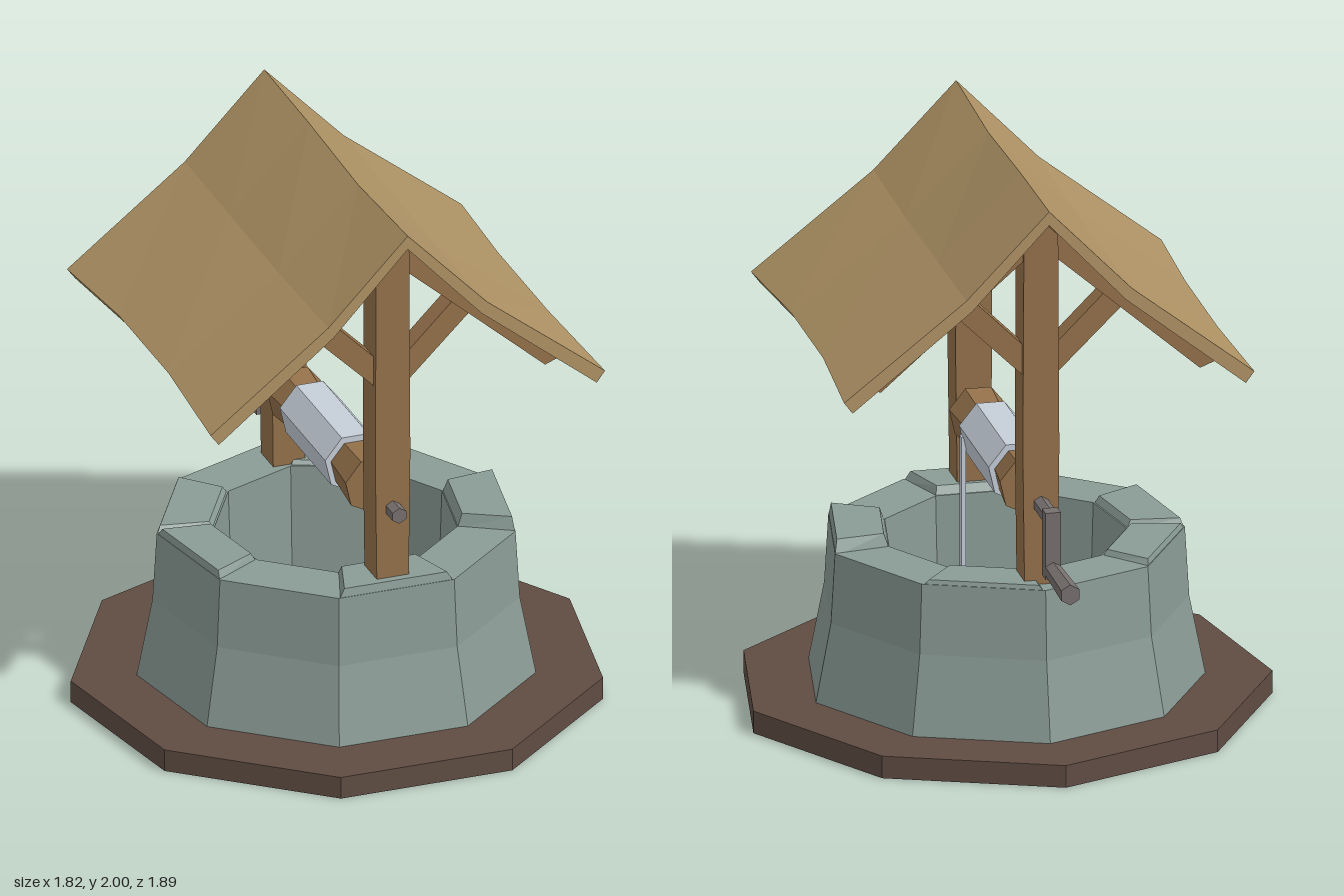
import * as THREE from 'three';

const mat = (color, side = THREE.FrontSide) =>
  new THREE.MeshStandardMaterial({ color, flatShading: true, side });

// nine slightly irregular corners shared by the base and the stone wall
const half = [[0.34, 0.97], [0.87, 0.52], [0.99, -0.15], [0.64, -0.75]];
const ring = [...half, [0, -1.01], ...half.map(([x, z]) => [-x, z]).reverse()];
const CENTRE_Z = 0.05;

export function createModel() {
  const model = new THREE.Group();
  const stone = mat(0x8a9b95, THREE.DoubleSide);
  const earth = mat(0x5f4c43);
  const wood = mat(0x94714a);
  const roofWood = mat(0xae9264);
  const metal = mat(0x76706e);
  const ropeMat = mat(0xc6ced8);

  function add(name, geometry, material, parent = model) {
    const flat = geometry.index ? geometry.toNonIndexed() : geometry;
    flat.computeVertexNormals();
    const mesh = new THREE.Mesh(flat, material);
    mesh.name = name;
    parent.add(mesh);
    return mesh;
  }

  // move every vertex of a geometry by a rule
  function remap(geometry, rule) {
    const p = geometry.attributes.position;
    for (let i = 0; i < p.count; i++) p.setXYZ(i, ...rule(p.getX(i), p.getY(i), p.getZ(i), i));
    return geometry;
  }

  // a profile of [radius, height] swept round the nine corners
  function ringSweep(profile) {
    const n = profile.length;
    const g = new THREE.LatheGeometry(profile.map(([r, y]) => new THREE.Vector2(r, y)), 9);
    return remap(g, (x, y, z, i) => {
      const [cx, cz] = ring[Math.floor(i / n) % 9];
      const r = profile[i % n][0];
      return [cx * r, y, cz * r + CENTRE_Z];
    });
  }

  // flat outline in x/y, extruded along z around a centre
  function plank(points, z, depth) {
    const shape = new THREE.Shape(points.map(([x, y]) => new THREE.Vector2(x, y)));
    return new THREE.ExtrudeGeometry(shape, { depth, bevelEnabled: false }).translate(0, 0, z - depth / 2);
  }

  // bar with a few sides running along z
  function barZ(z0, z1, r0, r1, sides, y, turn = 0) {
    return new THREE.CylinderGeometry(r1, r0, z1 - z0, sides)
      .rotateY(turn).rotateX(Math.PI / 2).translate(0, y, (z0 + z1) / 2);
  }

  // ground slab and hollow stone wall
  add('groundSlab', ringSweep([[0.69, 0], [0.92, 0], [0.92, 0.08], [0.69, 0.08], [0.69, 0]]), earth);
  add('stoneWall', ringSweep([[0.69, 0.08], [0.635, 0.36], [0.62, 0.61], [0.42, 0.61], [0.4, 0.04]]), stone);

  // raised rim stones: segment number and top height
  [[8, 0.64], [1, 0.655], [3, 0.625], [5, 0.63], [6, 0.635]].forEach(([seg, top]) => {
    const a = ring[seg], b = ring[(seg + 1) % 9];
    add('rimStone', remap(new THREE.BoxGeometry(1, 1, 1), (x, y, z) => {
      const up = y > 0;
      const t = 0.5 + x * (up ? 0.9 : 1);
      const r = z > 0 ? (up ? 0.612 : 0.62) : (up ? 0.44 : 0.42);
      return [
        (a[0] + (b[0] - a[0]) * t) * r,
        up ? top : 0.6,
        (a[1] + (b[1] - a[1]) * t) * r + CENTRE_Z,
      ];
    }), stone);
  });

  // the two roof frames: post, rafters and braces
  [['front', 0.555, 0.62], ['back', -0.448, 0.6]].forEach(([end, z, foot]) => {
    const frame = new THREE.Group();
    frame.name = end + 'Frame';
    model.add(frame);
    add('post', plank([[-0.058, foot], [0.058, foot], [0.064, 1.1], [0.06, 1.87], [0, 1.93],
      [-0.06, 1.87], [-0.064, 1.1]], z, 0.12), wood, frame);
    for (const s of [1, -1]) {
      const flip = pts => pts.map(([x, y]) => [x * s, y]);
      add('rafter', plank(flip([[0, 1.83], [0.06, 1.78], [0.56, 1.345], [0.635, 1.375],
        [0.28, 1.655], [0, 1.935]]), z, 0.1), wood, frame);
      add('brace', plank(flip([[0.05, 1.355], [0.3, 1.6], [0.23, 1.645], [0.05, 1.465]]), z, 0.08), wood, frame);
    }
  });

  // sagging roof: a subdivided box bent over the ridge
  const topLine = [[0, 2], [0.29, 1.7], [0.72, 1.365]];
  const underLine = [[0, 1.95], [0.27, 1.66], [0.69, 1.325]];
  const rows = [[-0.63, 0], [-0.2, 0.5], [0.28, 1], [0.76, 0]]; // z and amount of sag
  add('roof', remap(new THREE.BoxGeometry(4, 1, 3, 4, 1, 3), (x, y, z) => {
    const k = Math.round(Math.abs(x));
    const [px, py] = (y > 0 ? topLine : underLine)[k];
    const [rz, sag] = rows[Math.round(z + 1.5)];
    const inward = k === 2 && sag ? 0.027 : 0;
    const dy = k === 2 ? Math.min(sag, 0.5) * 0.03 : k === 0 ? -0.024 * sag * sag : -0.01 * sag;
    return [Math.sign(x) * (px - inward), py + dy, rz];
  }), roofWood);

  // windlass: wooden drum, wound rope and hanging end
  const windlass = new THREE.Group();
  windlass.name = 'windlass';
  model.add(windlass);
  add('drumFrontEnd', barZ(0.24, 0.43, 0.09, 0.105, 7, 0.905), wood, windlass);
  add('drumBackEnd', barZ(-0.33, -0.18, 0.105, 0.09, 7, 0.905), wood, windlass);
  add('woundRope', barZ(-0.19, 0.25, 0.112, 0.112, 7, 0.908), ropeMat, windlass);
  add('hangingRope', new THREE.BoxGeometry(0.016, 0.79, 0.032).translate(0.1, 0.505, 0.235), ropeMat, windlass);

  // axle and crank
  add('axle', barZ(-0.66, 0.68, 0.029, 0.029, 6, 0.9), metal, windlass);
  add('crankArm', new THREE.BoxGeometry(0.054, 0.24, 0.054).translate(0, 0.81, -0.662), metal, windlass);
  add('crankHandle', barZ(-0.945, -0.64, 0.037, 0.03, 6, 0.72), metal, windlass);

  return model;
}
